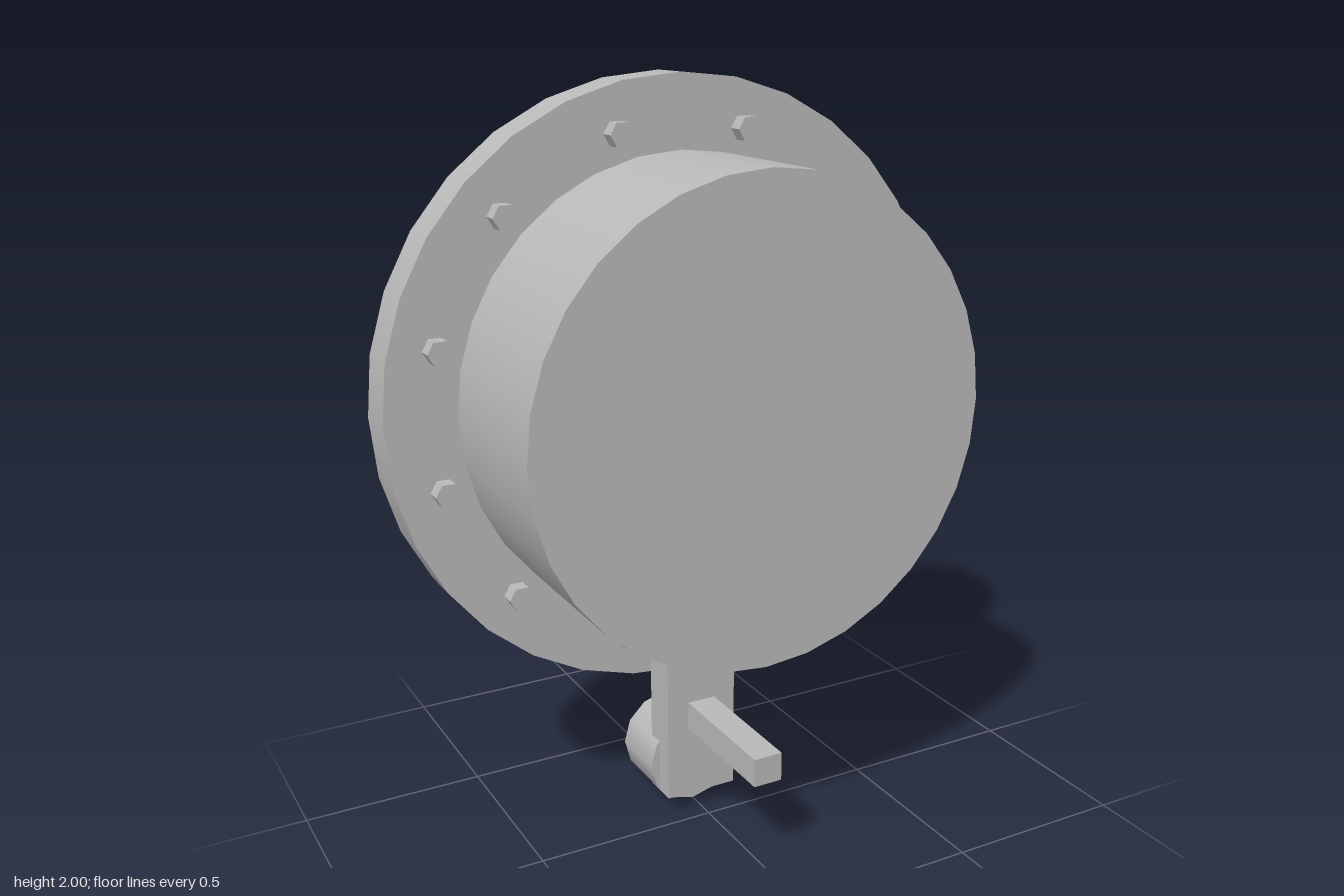
import * as THREE from 'three';
import { toCreasedNormals } from 'three/addons/utils/BufferGeometryUtils.js';

export function createModel() {
  const group = new THREE.Group();
  const metal = new THREE.MeshStandardMaterial({ color: 0xb8b8b8 });
  metal.name = 'grey metal';
  const CY = 1.195; // height of the wheel axis

  function add(name, geometry, x, y, z) {
    const mesh = new THREE.Mesh(geometry, metal);
    mesh.name = name;
    mesh.position.set(x, y, z);
    group.add(mesh);
    return mesh;
  }
  // Cylinder lying along z, from z0 (back) to z1 (front)
  function disc(name, r, z0, z1, y, sides = 32, x = 0, turn = 0) {
    const g = new THREE.CylinderGeometry(r, r, z1 - z0, sides, 1, false, turn).rotateX(Math.PI / 2);
    return add(name, g, x, y, (z0 + z1) / 2);
  }
  // Open ring with a rectangular section, along z
  function ring(name, inner, outer, z0, z1, y, sides) {
    const profile = [[inner, z0], [outer, z0], [outer, z1], [inner, z1], [inner, z0]]
      .map(([r, z]) => new THREE.Vector2(r, z));
    const g = new THREE.LatheGeometry(profile, sides).rotateX(Math.PI / 2);
    return add(name, toCreasedNormals(g, 0.7), 0, y, 0);
  }
  function box(name, w, y0, y1, z0, z1) {
    return add(name, new THREE.BoxGeometry(w, y1 - y0, z1 - z0), 0, (y0 + y1) / 2, (z0 + z1) / 2);
  }
  function bolt(name, x, y, z0, z1) {
    const mesh = disc(name, 0.034, z0, z1, y, 6, x, Math.PI / 2);
    mesh.geometry = toCreasedNormals(mesh.geometry, 0.5);
  }

  // Main body
  disc('flange', 0.805, -0.267, -0.145, CY);
  disc('drum', 0.617, -0.15, 0.302, CY);

  // Bolt circle
  for (let i = 0; i < 12; i++) {
    const a = (i + 0.5) * Math.PI / 6;
    bolt('flangeBolt', 0.687 * Math.cos(a), CY + 0.687 * Math.sin(a), -0.15, -0.104);
  }

  // Back face details
  ring('backRim', 0.44, 0.495, -0.273, -0.265, CY, 32);
  disc('backPlate', 0.412, -0.279, -0.265, CY);
  ring('hubRing', 0.13, 0.163, -0.32, -0.29, CY, 12);

  // Hanging arm, handle and weight
  box('arm', 0.206, 0.052, 0.535, -0.145, -0.043);
  box('handle', 0.08, 0.255, 0.333, -0.05, 0.317);
  bolt('armBolt', 0, 0.35, -0.187, -0.14);
  disc('weight', 0.13, -0.267, -0.096, 0.13, 12);
  disc('weightCap', 0.077, -0.273, -0.265, 0.13, 16);

  return group;
}
